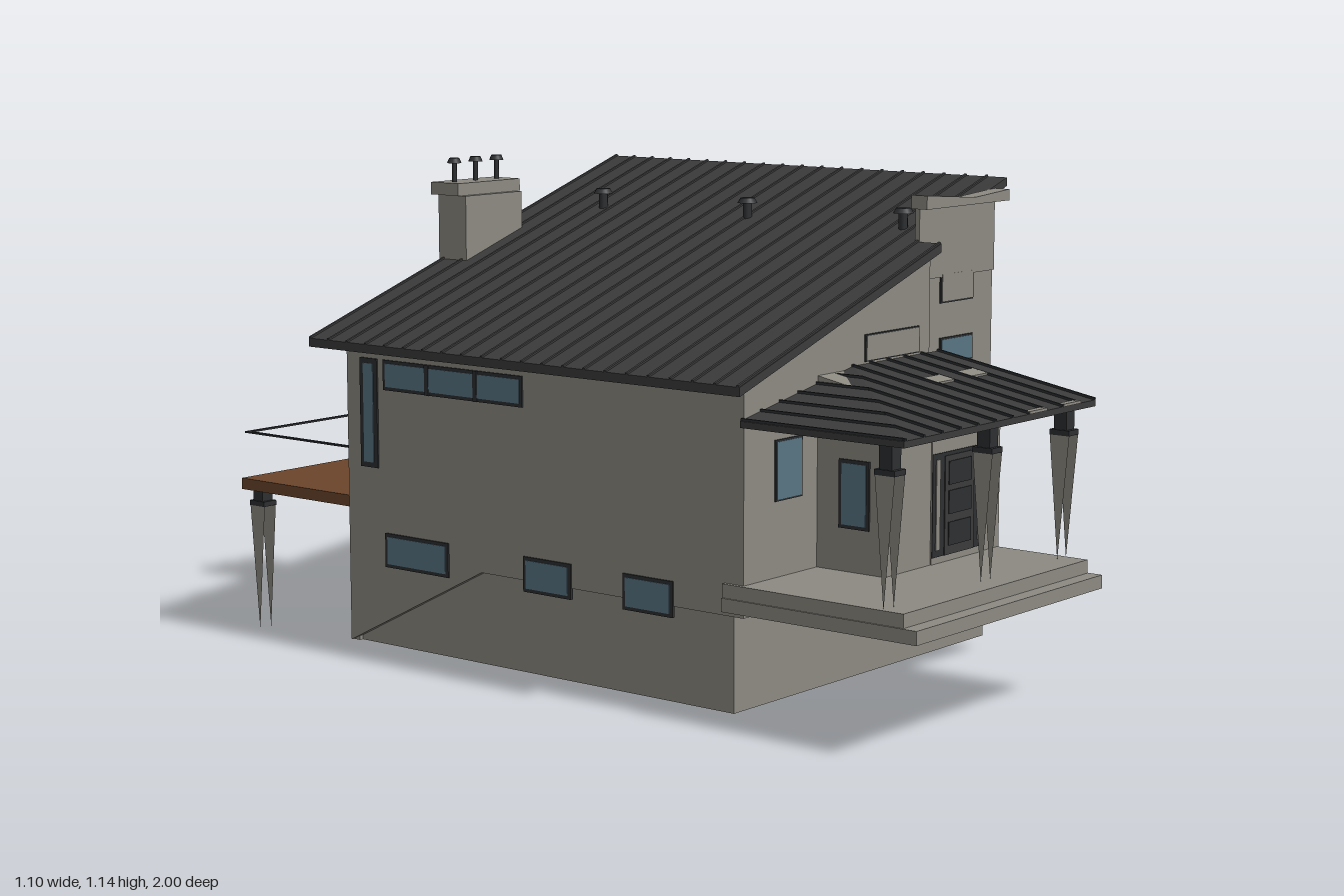
import * as THREE from 'three';

const mat = (name, color, side = THREE.FrontSide) => {
  const m = new THREE.MeshStandardMaterial({ color, side });
  m.name = name;
  return m;
};

export function createModel() {
  const wall = mat('grey render', 0x8d8a82, THREE.DoubleSide);
  const roofing = mat('dark roofing', 0x3b3b3c, THREE.DoubleSide);
  const trim = mat('charcoal trim', 0x2d2f31);
  const glass = mat('blue glass', 0x587583);
  const wood = mat('brown decking', 0x6b452b);
  const house = new THREE.Group();
  house.name = 'house';

  const add = (name, geo, m) => {
    const mesh = new THREE.Mesh(geo, m);
    mesh.name = name;
    house.add(mesh);
    return mesh;
  };
  // Box given by its limits on each axis
  const box = (name, m, x0, x1, y0, y1, z0, z1) => {
    const g = new THREE.BoxGeometry(x1 - x0, y1 - y0, z1 - z0);
    return add(name, g.translate((x0 + x1) / 2, (y0 + y1) / 2, (z0 + z1) / 2), m);
  };
  // Outline in x and y, extruded from z0 to z1
  const prism = (pts, z0, z1) => new THREE.ExtrudeGeometry(
    new THREE.Shape(pts.map(p => new THREE.Vector2(...p))),
    { depth: z1 - z0, bevelEnabled: false }).translate(0, 0, z0);
  // Square bar between two points
  const bar = (name, m, a, b, w, h = w) => {
    const A = new THREE.Vector3(...a), B = new THREE.Vector3(...b);
    const mesh = add(name, new THREE.BoxGeometry(w, h, A.distanceTo(B)), m);
    mesh.position.copy(A).lerp(B, 0.5);
    mesh.lookAt(B);
  };
  // Thin plate on a wall facing along axis ('x' or 'z') at position p, direction s
  const plate = (name, m, axis, p, s, u0, u1, y0, y1, d) => {
    const a = Math.min(p - s * 0.004, p + s * d), b = Math.max(p - s * 0.004, p + s * d);
    if (axis === 'x') box(name, m, a, b, y0, y1, u0, u1);
    else box(name, m, u0, u1, y0, y1, a, b);
  };
  const pane = (name, axis, p, s, u0, u1, y0, y1, f = 0.008, fill = glass) => {
    plate(name + 'Frame', trim, axis, p, s, u0, u1, y0, y1, 0.004);
    plate(name + 'Pane', fill, axis, p, s, u0 + f, u1 - f, y0 + f, y1 - f, 0.0055);
  };

  // Walls under the single-pitch roof
  const roofY = x => 0.745 + 0.332 * (x + 0.55);
  const under = x => roofY(x) - 0.02;
  const block = (x0, x1, z1) => prism(
    [[x0, 0.245], [x1, 0.245], [x1, under(x1)], [x0, under(x0)]], -0.62, z1);
  add('mainWalls', block(-0.497, 0.18, 0.55), wall);
  add('stairBayWalls', block(0.18, 0.485, 0.515), wall);
  box('plinth', wall, -0.48, 0.472, 0.03, 0.25, -0.618, 0.512);
  // Side walls that reach the ground towards the back
  const skin = [[-0.62, 0.03], [-0.2, 0.245], [0.515, 0.245], [0.515, 0.3], [-0.62, 0.3]];
  for (const x of [0.485, -0.477]) {
    add('lowerSideWall', prism(skin, 0, 0.02).rotateY(-Math.PI / 2).translate(x, 0, 0), wall);
  }
  box('lowerBackWall', wall, -0.49, 0.48, 0.03, 0.25, -0.62, -0.6);

  // Roof, longer in front on its low side
  const roofPart = (x0, x1, z1) => add('roof', prism(
    [[x0, under(x0)], [x1, under(x1)], [x1, roofY(x1)], [x0, roofY(x0)]], -0.69, z1), roofing);
  roofPart(-0.55, 0.18, 0.58);
  roofPart(0.18, 0.55, 0.51);
  for (let z = -0.685; z < 0.58; z += 0.06) {
    const x1 = z > 0.5 ? 0.18 : 0.55;
    bar('roofSeam', roofing, [-0.55, roofY(-0.55), z], [x1, roofY(x1), z], 0.006, 0.008);
  }
  const vent = (name, x, y, z, h, r, stem) => {
    add(name + 'Stem', new THREE.CylinderGeometry(stem, stem, h, 8).translate(x, y + h / 2, z), trim);
    add(name + 'Cap', new THREE.CylinderGeometry(r * 0.7, r, 0.012, 12).translate(x, y + h, z), trim);
  };
  for (const z of [-0.47, -0.02, 0.43]) vent('roofVent', 0.245, roofY(0.245) - 0.01, z, 0.05, 0.024, 0.011);

  // Parapet of the stair bay
  box('parapet', wall, 0.18, 0.485, 0.9, 1.065, 0.508, 0.52);
  add('parapetCap', prism([[0.165, 1.062], [0.5, 1.062], [0.5, 1.088], [0.36, 1.078],
    [0.165, 1.093]], 0.507, 0.55), wall);
  box('stairBayFoot', wall, 0.195, 0.485, 0.245, 0.278, 0.5, 0.52);
  for (const [y0, y1, m] of [[0.84, 0.91, wall], [0.7, 0.76, glass], [0.555, 0.62, glass],
    [0.415, 0.48, glass], [0.28, 0.345, wall]]) {
    pane('stairWindow', 'z', 0.515, 1, 0.27, 0.402, y0, y1, 0.004, m);
  }

  // Chimney
  box('chimney', wall, -0.1, 0.1, 0.03, 1.05, -0.7, -0.61);
  box('chimneyCap', wall, -0.11, 0.11, 1.05, 1.08, -0.715, -0.625);
  for (const x of [-0.075, 0, 0.075]) vent('chimneyPot', x, 1.08, -0.67, 0.052, 0.018, 0.006);

  // Porch steps and entrance room
  for (const [y, z, e] of [[0.255, 1, 0], [0.285, 0.965, 0.004], [0.3, 0.93, 0.008]]) {
    box('porchStep', wall, -0.51 + e, 0.2 - e, y, y < 0.29 ? y + 0.03 : 0.312, 0.5, z);
  }
  add('entranceRoom', prism([[0.54, 0.245], [0.73, 0.245], [0.73, 0.7], [0.54, 0.735]], 0, 0.44)
    .rotateY(-Math.PI / 2).translate(0.2, 0, 0), wall);

  // Front door with sidelights
  plate('doorSurround', wall, 'z', 0.73, 1, -0.07, 0.135, 0.315, 0.61, 0.003);
  plate('doorFrame', trim, 'z', 0.73, 1, -0.07, 0.135, 0.33, 0.558, 0.005);
  plate('doorLeaf', roofing, 'z', 0.73, 1, -0.025, 0.088, 0.33, 0.55, 0.007);
  for (const y of [0.35, 0.42, 0.485]) plate('doorPanel', trim, 'z', 0.73, 1, -0.012, 0.075, y, y + 0.052, 0.009);
  for (const x of [-0.058, 0.106]) plate('sidelight', wall, 'z', 0.73, 1, x, x + 0.015, 0.345, 0.545, 0.007);

  // Hipped porch roof with standing seams
  const eave = 0.667, ridge = 0.74, backZ = 0.55, frontZ = 0.965;
  const A = [-0.51, eave, frontZ], B = [0.215, eave, frontZ], C = [0.215, ridge, backZ];
  const D = [-0.11, ridge, backZ], E = [-0.51, eave, backZ];
  const hip = new THREE.BufferGeometry();
  hip.setAttribute('position', new THREE.Float32BufferAttribute(
    [A, B, C, A, C, D, A, D, E].flat(), 3));
  hip.computeVertexNormals();
  add('porchRoof', hip, roofing);
  box('porchCeiling', roofing, -0.51, 0.215, 0.653, 0.667, 0.735, 0.965);
  box('porchSideEave', roofing, -0.51, -0.24, 0.653, 0.667, 0.55, 0.735);
  for (let i = 0; i < 12; i++) {
    const x = -0.505 + i * 0.0652, t = Math.min((x + 0.51) / 0.4, 1);
    const y = eave + (ridge - eave) * t, z = frontZ + (backZ - frontZ) * t;
    bar('porchSeam', trim, [x, eave, frontZ], [x, y, z], 0.006, 0.01);
    if (t < 1) bar('porchSeam', trim, [x, y, z], [x, y, backZ], 0.006, 0.01);
  }
  const slopeY = z => eave + (ridge - eave) * (frontZ - z) / (frontZ - backZ);
  for (const x of [-0.017, 0.117]) {
    bar('porchSkylight', wall, [x, slopeY(0.73) + 0.002, 0.73], [x, slopeY(0.69) + 0.002, 0.69], 0.068, 0.006);
    box('porchEaveVent', wall, x - 0.034, x + 0.034, eave, eave + 0.006, 0.95, 0.967);
  }

  // Posts: dark head over a pair of tapering blades
  const post = (x, z, top, neck, foot) => {
    box('postHead', trim, x - 0.016, x + 0.016, neck, top, z - 0.016, z + 0.016);
    box('postCollar', trim, x - 0.02, x + 0.02, neck, neck + 0.012, z - 0.025, z + 0.025);
    for (const dx of [-0.018, 0.018]) {
      const blade = new THREE.ShapeGeometry(new THREE.Shape([[-0.025, neck], [0, foot], [0.025, neck]]
        .map(p => new THREE.Vector2(...p))));
      add('postBlade', blade.rotateY(-Math.PI / 2).translate(x + dx, 0, z), wall);
    }
  };
  for (const x of [-0.48, -0.125, 0.177]) post(x, 0.91, 0.655, 0.59, 0.312);

  // Back deck with its handrail
  box('deck', wood, -0.485, 0.485, 0.345, 0.372, -1, -0.62);
  for (const x of [-0.45, 0.45]) post(x, -0.965, 0.346, 0.305, 0);
  for (const s of [-1, 1]) bar('handrail', trim, [s * 0.475, 0.485, -0.62], [s * 0.475, 0.485, -0.99], 0.01, 0.004);
  bar('handrail', trim, [-0.48, 0.485, -0.985], [0.48, 0.485, -0.985], 0.01, 0.004);

  // Front windows
  pane('frontWindow', 'z', 0.55, 1, -0.392, -0.298, 0.48, 0.612, 0.004);
  pane('upperFrontWindow', 'z', 0.55, 1, -0.07, 0.135, 0.745, 0.805, 0.003, wall);
  pane('entranceSideWindow', 'x', -0.24, -1, 0.61, 0.69, 0.41, 0.56);

  // Right-hand openings
  pane('sideWindow', 'x', 0.485, 1, 0.07, 0.235, 0.715, 0.878);
  pane('sideHighWindow', 'x', 0.485, 1, -0.552, -0.355, 0.813, 0.878);
  pane('sideLargeWindow', 'x', 0.485, 1, -0.56, -0.352, 0.388, 0.617, 0.01);
  plate('sideTransom', trim, 'x', 0.485, 1, -0.56, -0.352, 0.455, 0.463, 0.007);
  pane('sideDoor', 'x', 0.485, 1, 0, 0.11, 0.27, 0.495, 0.005);

  // Left-hand openings
  for (const [z, w] of [[-0.4, 0.1], [0, 0.07], [0.29, 0.07]]) {
    pane('basementWindow', 'x', -0.497, -1, z - w, z + w, 0.22, 0.3);
  }
  pane('leftStripWindow', 'x', -0.497, -1, -0.5, -0.07, 0.635, 0.705);
  for (const z of [-0.36, -0.21]) plate('stripMullion', trim, 'x', -0.497, -1, z - 0.006, z + 0.006, 0.635, 0.705, 0.007);
  pane('leftSlotWindow', 'x', -0.497, -1, -0.575, -0.52, 0.45, 0.705, 0.012);

  // Back doors on both floors and the upper window
  for (const [x0, x1] of [[0.19, 0.39], [-0.4, -0.2]]) {
    for (const [y0, y1] of [[0.05, 0.33], [0.375, 0.66]]) {
      pane('backDoor', 'z', -0.62, -1, x0, x1, y0, y1, 0.012);
      plate('backDoorMullion', trim, 'z', -0.62, -1, x0 + 0.12, x0 + 0.128, y0, y1, 0.007);
    }
  }
  pane('upperBackWindow', 'z', -0.62, -1, 0.19, 0.39, 0.69, 0.845, 0.014, wall);
  plate('upperBackTransom', trim, 'z', -0.62, -1, 0.19, 0.39, 0.735, 0.765, 0.007);

  return house;
}
